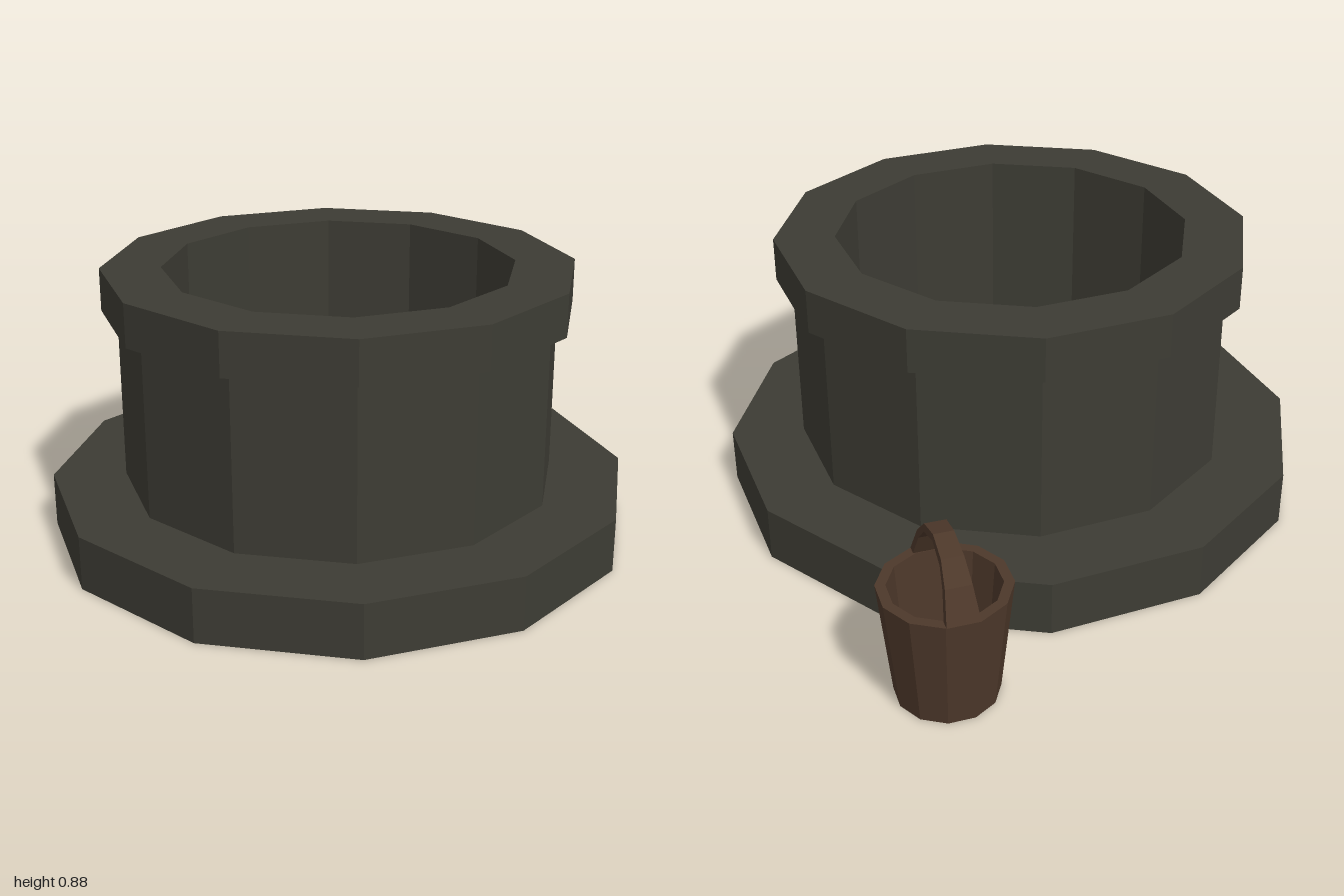
import * as THREE from 'three';

const SIDES = 12;

function makeMaterial(name, color) {
  const material = new THREE.MeshStandardMaterial({ color, flatShading: true, side: THREE.DoubleSide });
  material.name = name;
  return material;
}

// Revolve a [radius, height] profile into a faceted part
function lathePart(name, profile, material) {
  const points = profile.map(([r, y]) => new THREE.Vector2(r, y));
  const mesh = new THREE.Mesh(new THREE.LatheGeometry(points, SIDES), material);
  mesh.name = name;
  return mesh;
}

// Arched handle: thin band, wide at the feet and narrow at the crown
function createHandle(material) {
  const outer = [[0.185, 0.36], [0.14, 0.45], [0.085, 0.506], [0, 0.528]];
  const inner = [[0, 0.508], [0.08, 0.483], [0.122, 0.435], [0.157, 0.36]];
  const mirror = (list) => list.slice().reverse().map(([x, y]) => [-x, y]);
  const outline = [...outer, ...mirror(outer).slice(1), ...mirror(inner), ...inner.slice(1)];
  const shape = new THREE.Shape(outline.map(([x, y]) => new THREE.Vector2(x, y)));
  const geometry = new THREE.ExtrudeGeometry(shape, { depth: 1, bevelEnabled: false });
  geometry.translate(0, 0, -0.5);
  const pos = geometry.attributes.position;
  for (let i = 0; i < pos.count; i++) {
    const rise = THREE.MathUtils.clamp((pos.getY(i) - 0.36) / 0.168, 0, 1);
    pos.setZ(i, pos.getZ(i) * THREE.MathUtils.lerp(0.095, 0.058, rise));
  }
  geometry.computeVertexNormals();
  const mesh = new THREE.Mesh(geometry, material);
  mesh.name = 'bucketHandle';
  return mesh;
}

export function createModel() {
  const stone = makeMaterial('darkStone', 0x3d3c34);
  const wood = makeMaterial('brownWood', 0x4d382a);
  const model = new THREE.Group();
  model.name = 'wellWithBucket';

  // Well: open-bottomed step, wall, overhanging rim, and the shaft with its floor
  const well = new THREE.Group();
  well.name = 'well';
  well.position.set(-0.045, 0, 0.025);
  well.add(
    lathePart('baseStep', [[0.955, 0], [0.955, 0.177], [0.715, 0.177]], stone),
    lathePart('wall', [[0.715, 0.177], [0.715, 0.738]], stone),
    lathePart('rim', [[0.715, 0.738], [0.765, 0.745], [0.765, 0.885], [0.57, 0.885]], stone),
    lathePart('shaft', [[0.57, 0.885], [0.57, 0.1], [0, 0.1]], stone),
  );
  model.add(well);

  // Bucket: tapered, hollow, turned so the handle stands on two opposite staves
  const bucket = new THREE.Group();
  bucket.name = 'bucket';
  bucket.position.set(0.808, 0, -0.805);
  bucket.rotation.y = THREE.MathUtils.degToRad(71);
  const body = lathePart('bucketBody',
    [[0, 0], [0.152, 0], [0.19, 0.36], [0.16, 0.36], [0.135, 0.05], [0, 0.05]], wood);
  body.rotation.y = Math.PI / SIDES;
  bucket.add(body, createHandle(wood));
  model.add(bucket);

  return model;
}
